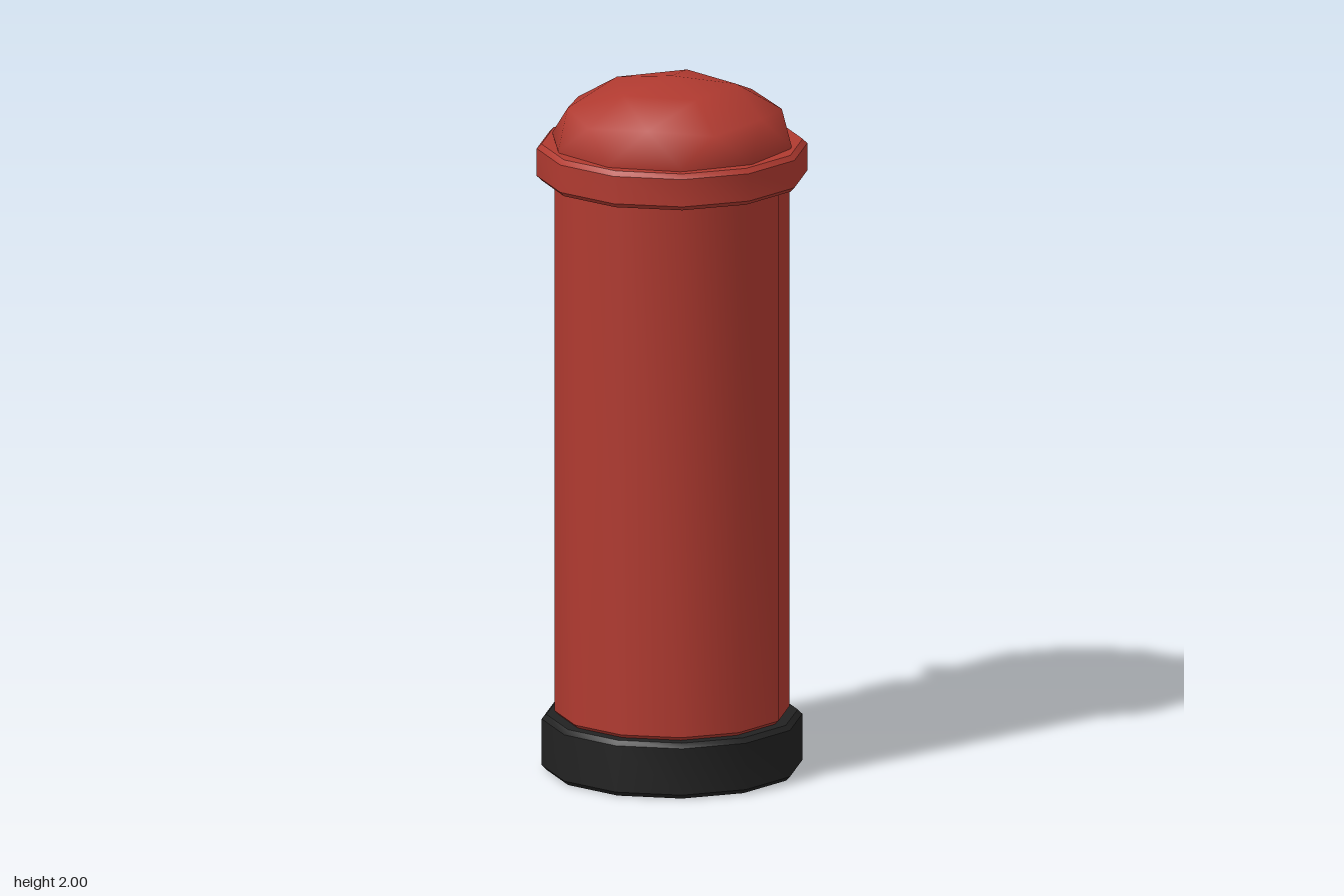
import * as THREE from 'three';
import { toCreasedNormals } from 'three/addons/utils/BufferGeometryUtils.js';
import { RoundedBoxGeometry } from 'three/addons/geometries/RoundedBoxGeometry.js';

// Solid twelve-sided drum with chamfered rims
function drum(radius, bottom, top, bevel) {
  const profile = [
    [0, bottom], [radius - bevel, bottom], [radius, bottom + bevel],
    [radius, top - bevel], [radius - bevel, top], [0, top],
  ].map(([x, y]) => new THREE.Vector2(x, y));
  return toCreasedNormals(new THREE.LatheGeometry(profile, 12), 0.65);
}

// Squashed icosphere with one corner at the top
function dome(radius, height, centreY) {
  const geometry = new THREE.IcosahedronGeometry(1, 1);
  geometry.rotateZ(-Math.atan(2 / (1 + Math.sqrt(5))));
  geometry.scale(radius, height, radius);
  geometry.translate(0, centreY, 0);
  return geometry;
}

export function createModel() {
  const red = new THREE.MeshStandardMaterial({ name: 'post red', color: 0xb03a30 });
  const black = new THREE.MeshStandardMaterial({ name: 'black', color: 0x222222 });
  const cream = new THREE.MeshStandardMaterial({ name: 'cream', color: 0xd8d0bc });

  const group = new THREE.Group();
  group.name = 'pillarBox';
  const add = (name, geometry, material, y = 0, z = 0) => {
    const mesh = new THREE.Mesh(geometry, material);
    mesh.name = name;
    mesh.position.set(0, y, z);
    group.add(mesh);
  };

  // Stacked column
  add('base', drum(0.366, 0, 0.16, 0.013), black);
  add('body', drum(0.33, 0.155, 1.75, 0.015), red);
  add('capRim', drum(0.38, 1.705, 1.81, 0.013), red);
  add('capDome', dome(0.345, 0.185, 1.815), red);

  // Letter slot and notice plate on the back
  add('letterSlot', new RoundedBoxGeometry(0.42, 0.076, 0.07, 1, 0.022), black, 1.468, -0.32);
  add('noticePlate', new RoundedBoxGeometry(0.24, 0.175, 0.03, 1, 0.006), cream, 1.127, -0.326);

  return group;
}
